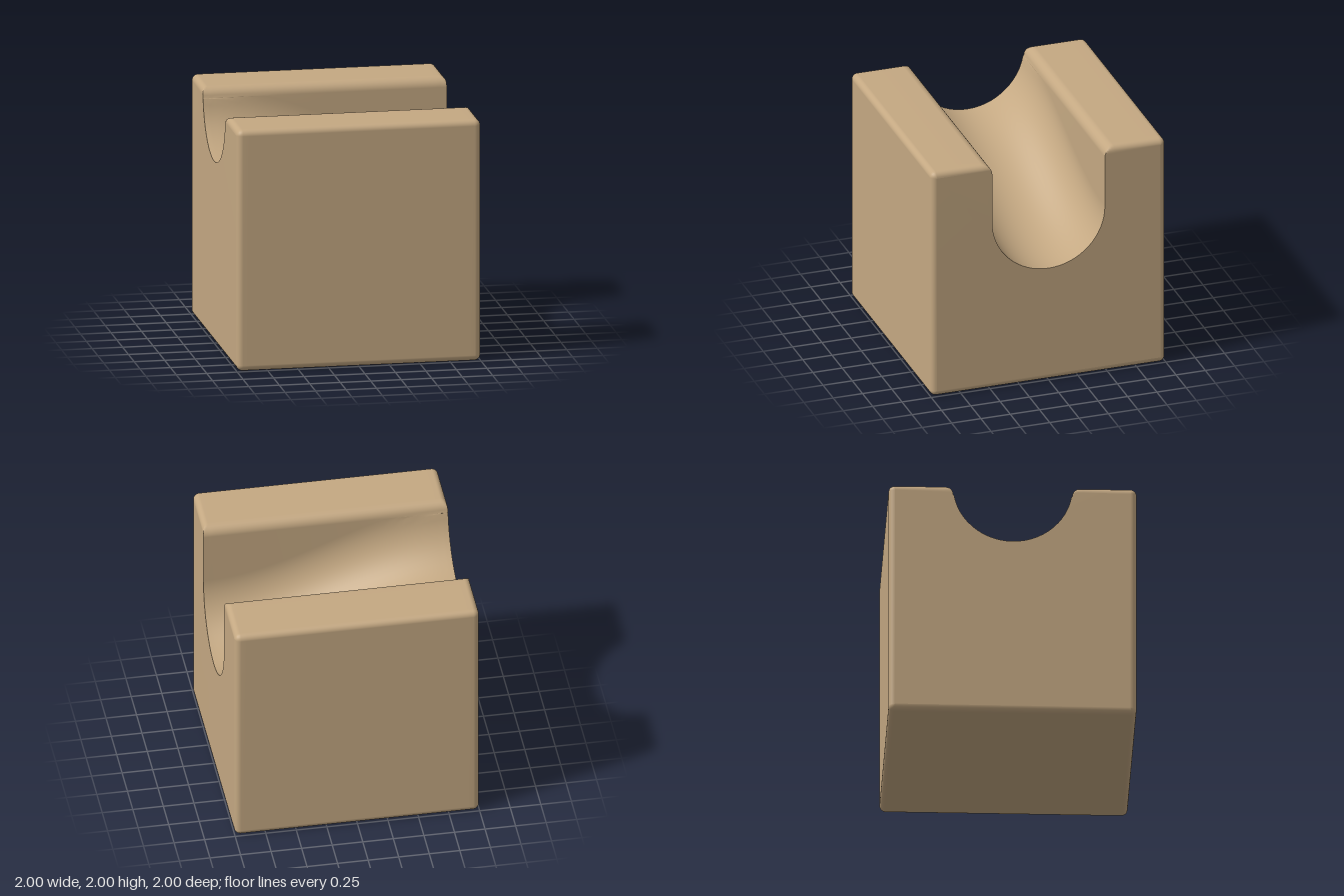
import * as THREE from 'three';

const EDGE = 0.05;      // rounding of the outer edges
const LIP = 0.085;      // rounding of the groove's upper edges
const GROOVE = 0.48;    // groove radius
const SEG = 6;          // steps per rounded corner
const ARC = 32;         // steps round the groove floor

// Height of the groove's arc centre: an S-shaped slope from -x down to +x
const grooveCentre = (x) => 1.735 - 0.255 * Math.sin((x * Math.PI) / 2);

// Outline across the block at x as [z, y, inGroove], shrunk by inset near the ends
function section(x, inset) {
  const pts = [];
  const corner = (z, y, start) => {
    for (let i = 0; i <= SEG; i++) {
      const a = start + (i / SEG) * (Math.PI / 2);
      pts.push([z - (EDGE - inset) * Math.cos(a), y + (EDGE - inset) * Math.sin(a), false]);
    }
  };
  const far = 1 - EDGE;
  corner(far, EDGE, Math.PI);
  corner(-far, EDGE, -Math.PI / 2);
  corner(-far, 2 - EDGE, 0);

  // Half of the groove: rounded lip, wall, then the round floor
  const half = [];
  const top = 2 - inset;
  for (let i = 0; i <= SEG; i++) {
    const a = (i / SEG) * (Math.PI / 2);
    half.push([GROOVE + LIP - LIP * Math.sin(a), Math.min(top, 2 - LIP + LIP * Math.cos(a))]);
  }
  const c = grooveCentre(x);
  const start = Math.asin(Math.max(0, c - (2 - LIP)) / GROOVE);
  for (let i = 0; i <= ARC / 2; i++) {
    const a = -start + (i / (ARC / 2)) * (Math.PI / 2 + start);
    // a runs from the wall (up to the lip) down to the lowest point
    half.push([GROOVE * Math.cos(a), Math.min(2 - LIP - 0.002, c - GROOVE * Math.sin(a))]);
  }
  const add = (z, y) => pts.push([z, y, y < top - 1e-6]);
  half.forEach(([z, y]) => add(-z, y));
  half.slice(0, -1).reverse().forEach(([z, y]) => add(z, y));

  corner(far, 2 - EDGE, Math.PI / 2);
  return pts;
}

function blockGeometry() {
  // Stations along x: rounded end, long middle, rounded end
  const ends = [];
  for (let i = 0; i <= SEG; i++) {
    const t = (i / SEG) * (Math.PI / 2);
    ends.push([1 - EDGE * (1 - Math.cos(t)), EDGE * (1 - Math.sin(t))]);
  }
  const stations = ends.map(([x, d]) => [-x, d]);
  for (let i = 1; i < 40; i++) stations.push([(1 - EDGE) * (i / 20 - 1), 0]);
  stations.push(...ends.reverse());

  const loops = stations.map(([x, d]) => section(x, d));
  const n = loops[0].length;
  const position = [];
  const index = [];
  loops.forEach((loop, i) => loop.forEach(([z, y]) => position.push(stations[i][0], y, z)));

  // Skin between neighbouring sections
  for (let i = 0; i < loops.length - 1; i++) {
    for (let j = 0; j < n; j++) {
      const k = (j + 1) % n;
      const a = i * n + j, b = i * n + k;
      index.push(a, b, a + n, b, b + n, a + n);
    }
  }

  // Flat ends: share the rounded outer rim, but keep the groove's rim sharp
  for (const i of [0, loops.length - 1]) {
    const rim = loops[i].map(([z, y, sharp], j) => {
      if (!sharp || j < 3 * (SEG + 1) || j >= n - (SEG + 1)) return i * n + j;
      position.push(stations[i][0], y, z);
      return position.length / 3 - 1;
    });
    const flat = loops[i].map(([z, y]) => new THREE.Vector2(-z, y));
    for (const [a, b, c] of THREE.ShapeUtils.triangulateShape(flat, [])) {
      if (i) index.push(rim[a], rim[b], rim[c]);
      else index.push(rim[a], rim[c], rim[b]);
    }
  }

  const geometry = new THREE.BufferGeometry();
  geometry.setAttribute('position', new THREE.Float32BufferAttribute(position, 3));
  geometry.setIndex(index);
  geometry.computeVertexNormals();
  return geometry;
}

export function createModel() {
  const wood = new THREE.MeshStandardMaterial({ color: 0xc4a882 });
  wood.name = 'wood';

  // Cube with a sloping groove
  const block = new THREE.Mesh(blockGeometry(), wood);
  block.name = 'groovedBlock';

  const model = new THREE.Group();
  model.name = 'rampBlock';
  model.add(block);
  return model;
}
